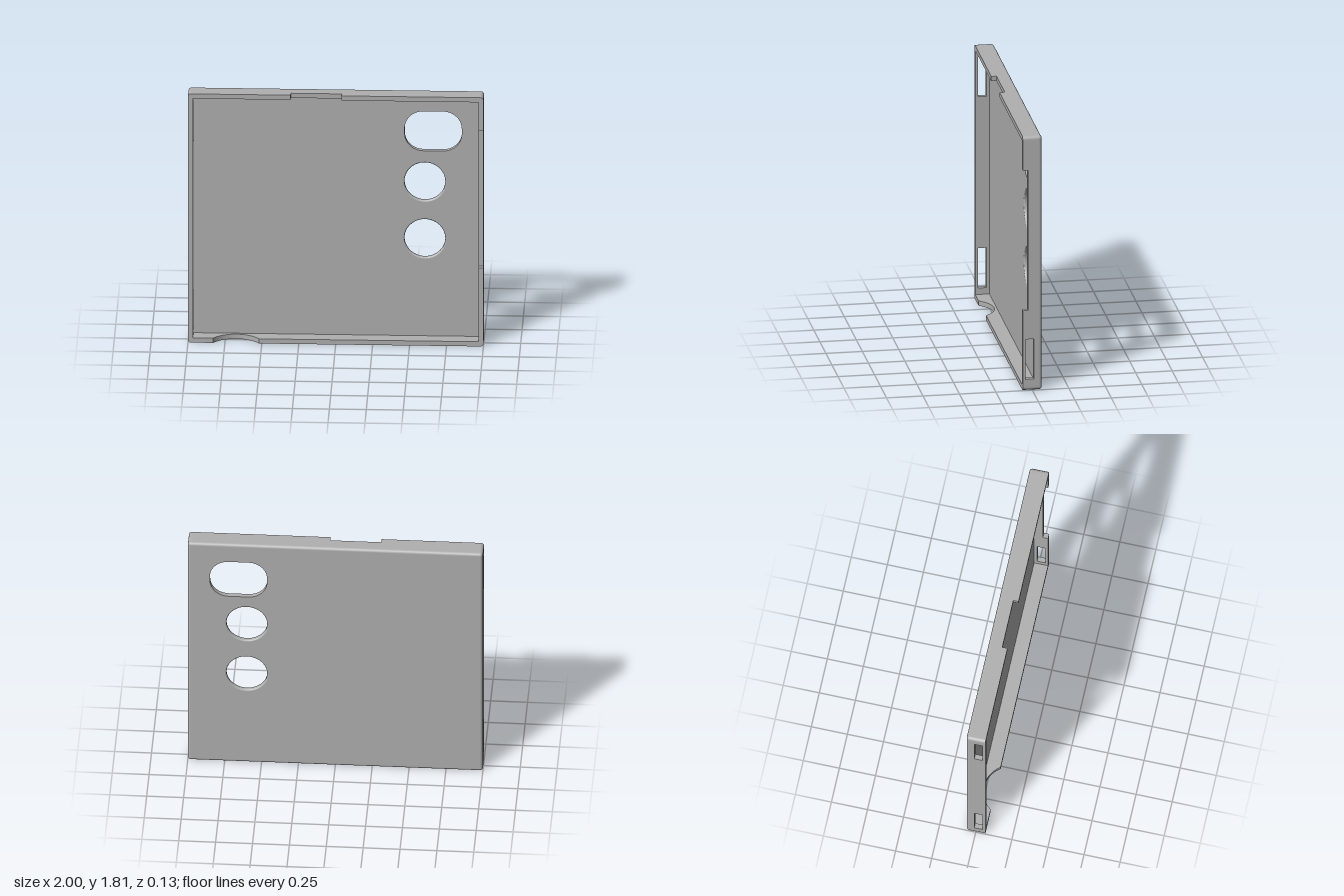
import * as THREE from 'three';
import { toCreasedNormals } from 'three/addons/utils/BufferGeometryUtils.js';

const H = 1.81, T = 0.034, R = 0.02;              // height, wall thickness, edge radius
const FRONT = 0.066, BACK = -0.066, FLOOR = -0.031;

const pts = (list) => list.map(([a, b]) => new THREE.Vector2(a, b));
const rect = (a0, a1, b0, b1) => [[a0, b0], [a1, b0], [a1, b1], [a0, b1]];

// Rounded rectangle or circle outline, from corner centres and radius
function roundOutline(x0, x1, y0, y1, r, steps = 12) {
  const out = [];
  [[x1, y1], [x0, y1], [x0, y0], [x1, y0]].forEach(([x, y], q) => {
    for (let i = 0; i <= steps; i++) {
      const a = (q + i / steps) * Math.PI / 2;
      out.push([x + r * Math.cos(a) + (q === 0 || q === 3 ? -r : r), y + r * Math.sin(a) + (q < 2 ? -r : r)]);
    }
  });
  return out;
}

function extrude(outline, holes, depth) {
  const shape = new THREE.Shape(pts(outline));
  holes.forEach((h) => shape.holes.push(new THREE.Path(pts(h))));
  const g = new THREE.ExtrudeGeometry(shape, { depth, bevelEnabled: false });
  return toCreasedNormals(g, 0.5);
}

export function createModel() {
  const group = new THREE.Group();
  const grey = new THREE.MeshStandardMaterial({ color: 0xb0b0b0 });
  const greyOpen = grey;
  greyOpen.side = THREE.DoubleSide;
  const add = (name, geometry) => {
    const m = new THREE.Mesh(geometry, grey);
    m.name = name;
    group.add(m);
    return m;
  };

  // Back plate with one rounded window and two round holes
  const flare = 0.01, holeR = 0.138, holeYs = [1.155, 0.742];
  const holes = [roundOutline(0.463, 0.85, 1.38, 1.667, 0.125)];
  holeYs.forEach((y) => {
    const r = holeR + flare;
    const ring = [];
    for (let i = 0; i < 48; i++) ring.push([0.6 + r * Math.cos(i * Math.PI / 24), y + r * Math.sin(i * Math.PI / 24)]);
    holes.push(ring);
  });
  add('backPlate', extrude(rect(-1 + R, 1 - R, R, H - R), holes, FLOOR - BACK)).position.z = BACK;

  // Softly rounded lips of the round holes
  const lip = [];
  for (let i = 0; i <= 6; i++) {
    const a = i / 6 * Math.PI / 2;
    lip.push([holeR + flare * (1 - Math.sin(a)), BACK + flare * (1 - Math.cos(a))]);
  }
  for (let i = 6; i >= 0; i--) {
    const a = i / 6 * Math.PI / 2;
    lip.push([holeR + flare * (1 - Math.sin(a)), FLOOR - flare * (1 - Math.cos(a))]);
  }
  holeYs.forEach((y) => {
    const g = new THREE.LatheGeometry(pts(lip.reverse()), 48);
    add('holeLip', g.rotateX(Math.PI / 2)).position.set(0.6, y, 0);
  });

  // Rounded rear edge running around the plate
  const pos = [], nor = [], idx = [], rows = 6, n = 24;
  for (let j = 0; j <= rows; j++) {
    const t = j / rows * Math.PI / 2;
    for (let i = 0; i < n; i++) {
      const q = Math.floor(i / 6), a = (q + (i % 6) / 5) * Math.PI / 2;
      const cx = (q === 0 || q === 3 ? 1 : -1) * (1 - R), cy = q < 2 ? H - R : R;
      const d = [Math.cos(a) * Math.cos(t), Math.sin(a) * Math.cos(t), -Math.sin(t)];
      pos.push(cx + R * d[0], cy + R * d[1], BACK + R + R * d[2]);
      nor.push(...d);
      if (j < rows) {
        const a0 = j * n + i, a1 = j * n + (i + 1) % n;
        idx.push(a0, a0 + n, a1, a1, a0 + n, a1 + n);
      }
    }
  }
  const edge = new THREE.BufferGeometry();
  edge.setAttribute('position', new THREE.Float32BufferAttribute(pos, 3));
  edge.setAttribute('normal', new THREE.Float32BufferAttribute(nor, 3));
  edge.setIndex(idx);
  add('rearEdge', edge);

  // Walls: outline is (distance along the wall, z)
  const V = (x, y, z) => new THREE.Vector3(x, y, z);
  const upright = new THREE.Matrix4().makeBasis(V(0, 1, 0), V(0, 0, 1), V(1, 0, 0));
  const level = new THREE.Matrix4().makeBasis(V(0, 0, 1), V(1, 0, 0), V(0, 1, 0));
  const swap = (list) => list.map(([a, b]) => [b, a]);
  const wallBack = BACK + R, step = 0.03;
  const wall = (a0, a1, notch) => [[a0, wallBack], [a1, wallBack], [a1, FRONT], ...notch, [a0, FRONT]];
  const stepNotch = (a0, a1) => [[a1, FRONT], [a1, step], [a0, step], [a0, FRONT]];
  const lowSlot = rect(0.08, 0.365, -0.01, 0.047);
  const highSlot = rect(H - 0.365, H - 0.08, -0.01, 0.047);

  add('leftWall', extrude(wall(T, H - T, stepNotch(0.57, 1.57)), [lowSlot], T).applyMatrix4(upright)).position.x = 1 - T;
  add('rightWall', extrude(wall(T, H - T, []), [lowSlot, highSlot], T).applyMatrix4(upright)).position.x = -1;
  add('topWall', extrude(swap(wall(-1 + T, 1 - T, stepNotch(-0.305, 0.04))), [], T).applyMatrix4(level)).position.y = H - T;

  // Bottom wall with a curved thumb notch
  const half = 0.155, sag = 0.08, rad = (half * half + sag * sag) / (2 * sag), sweep = Math.asin(half / rad);
  const thumb = [];
  for (let i = 0; i <= 20; i++) {
    const a = sweep * (1 - i / 10);
    thumb.push([-0.675 + rad * Math.sin(a), FRONT - sag + rad * (1 - Math.cos(a))]);
  }
  add('bottomWall', extrude(swap(wall(-1 + T, 1 - T, thumb)), [], T).applyMatrix4(level));

  // Corner posts with a rounded outer edge
  for (const sx of [-1, 1]) for (const top of [0, 1]) {
    const sy = top ? 1 : -1, outline = [[0, 0], [T, 0]];
    for (let i = 0; i <= 5; i++) {
      const a = i / 5 * Math.PI / 2;
      outline.push([T - R + R * Math.cos(a), T - R + R * Math.sin(a)]);
    }
    outline.push([0, T]);
    const g = extrude(outline.map(([x, y]) => [x * sx, y * sy]), [], FRONT - wallBack);
    add('cornerPost', g).position.set(sx * (1 - T), top ? H - T : T, wallBack);
  }
  return group;
}
